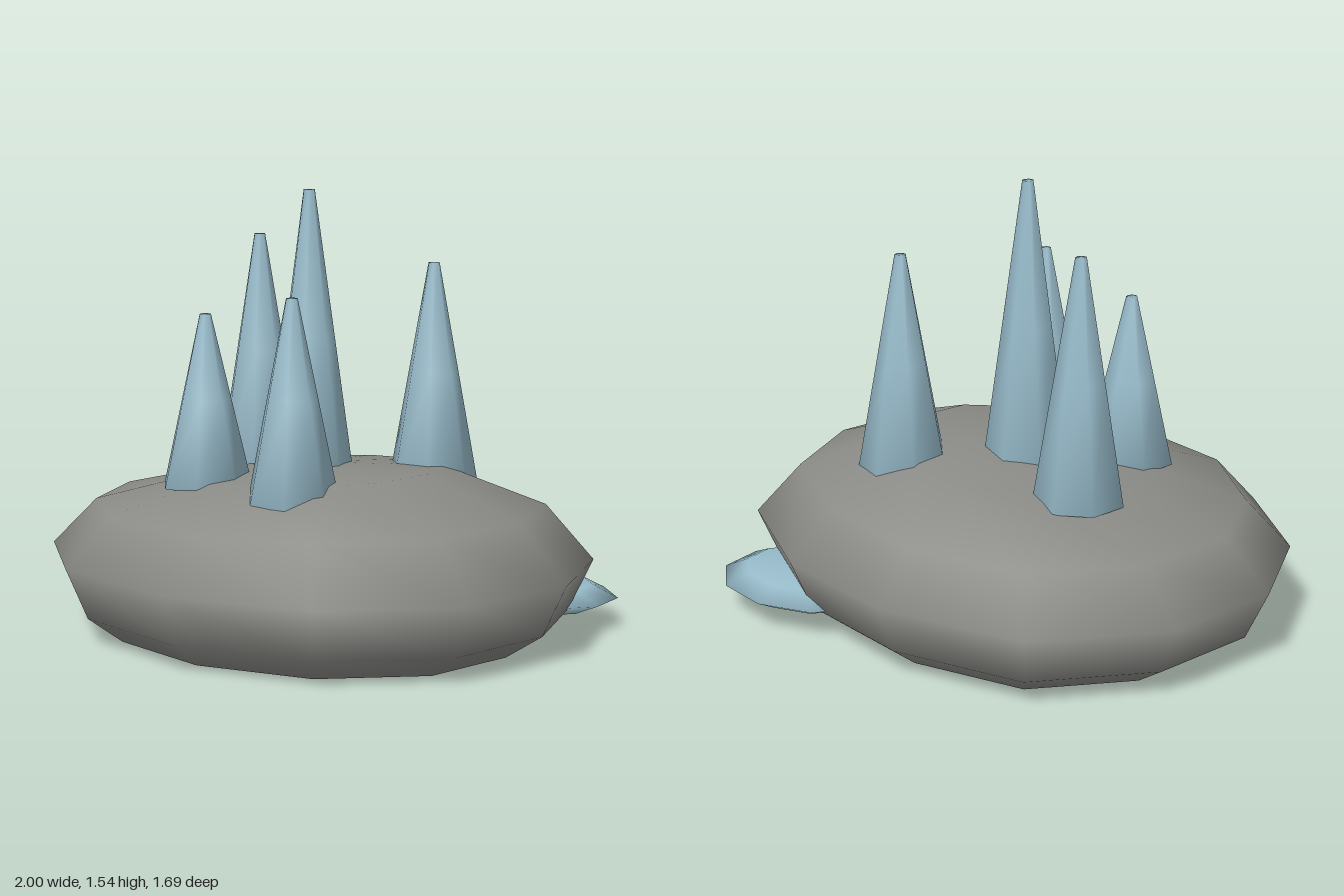
import * as THREE from 'three';
import { mergeVertices } from 'three/addons/utils/BufferGeometryUtils.js';

const stone = new THREE.MeshStandardMaterial({ color: 0x8a8a86 });
stone.name = 'grey stone';
const crystal = new THREE.MeshStandardMaterial({ color: 0x98bccb });
crystal.name = 'pale blue crystal';

// Smooth lump lofted through scaled copies of an outline (anticlockwise from above).
// Each ring is [scale, height, slope along x]; the top closes to a point.
function lump(outline, rings, apexY, creaseBase) {
  const n = outline.length, pos = [], idx = [];
  const addRing = ([s, y, slope = 0]) => {
    for (const [x, z] of outline) pos.push(x * s, y + slope * x * s, z * s);
  };
  rings.forEach(addRing);
  const apex = pos.length / 3;
  pos.push(0, apexY, 0);
  // a doubled base ring keeps the bottom edge sharp
  let base = 0;
  if (creaseBase) {
    base = pos.length / 3;
    addRing(rings[0]);
  }
  const centre = pos.length / 3;
  pos.push(0, rings[0][1], 0);
  for (let i = 0; i < n; i++) {
    const j = (i + 1) % n;
    for (let r = 0; r < rings.length - 1; r++) {
      const a = r * n, b = a + n;
      idx.push(a + i, a + j, b + i, a + j, b + j, b + i);
    }
    const t = (rings.length - 1) * n;
    idx.push(t + i, t + j, apex, base + j, base + i, centre);
  }
  const g = new THREE.BufferGeometry();
  g.setAttribute('position', new THREE.Float32BufferAttribute(pos, 3));
  g.setIndex(idx);
  g.computeVertexNormals();
  return g;
}

// Seven-sided tapered spike with normals softened over its edges
function spikeGeometry(height) {
  const g = new THREE.CylinderGeometry(0.02, 0.16, height, 7, 2);
  g.deleteAttribute('uv');
  g.deleteAttribute('normal');
  const soft = mergeVertices(g, 1e-4);
  soft.computeVertexNormals();
  return soft;
}

export function createModel() {
  const model = new THREE.Group();
  model.name = 'crystalRock';

  // Boulder
  const outline = [
    [-0.02, -0.85], [-0.55, -0.78], [-0.9, -0.43], [-1, -0.01], [-0.86, 0.39], [-0.53, 0.71],
    [-0.02, 0.84], [0.51, 0.74], [0.89, 0.42], [1, -0.01], [0.88, -0.44], [0.47, -0.73],
  ];
  const boulder = new THREE.Mesh(lump(outline, [
    [0.78, 0], [0.915, 0.09], [1, 0.27], [0.83, 0.447, 0.018], [0.47, 0.557, 0.075],
  ], 0.59, true), stone);
  boulder.name = 'boulder';
  model.add(boulder);

  // Crystal spikes: x, z, tip height
  const spikes = new THREE.Group();
  spikes.name = 'crystalSpikes';
  const baseY = 0.515;
  for (const [x, z, tip] of [
    [-0.02, -0.01, 1.54], [-0.36, -0.19, 1.365], [-0.28, 0.245, 1.115],
    [0.15, 0.34, 1.2], [0.325, -0.275, 1.285],
  ]) {
    const spike = new THREE.Mesh(spikeGeometry(tip - baseY), crystal);
    spike.name = 'spike';
    spike.position.set(x, (tip + baseY) / 2, z);
    spike.rotation.y = Math.PI;
    spikes.add(spike);
  }
  model.add(spikes);

  // Flat crystal pebble half buried in the back left side
  const oval = [];
  for (let i = 0; i < 10; i++) {
    const a = (i / 10) * Math.PI * 2;
    oval.push([0.335 * Math.sin(a), 0.26 * Math.cos(a)]);
  }
  const pebble = new THREE.Mesh(
    lump(oval, [[0.7, 0.06], [1, 0.103], [0.72, 0.145]], 0.153, false), crystal);
  pebble.name = 'pebble';
  pebble.position.set(0.58, 0, -0.52);
  model.add(pebble);

  return model;
}
